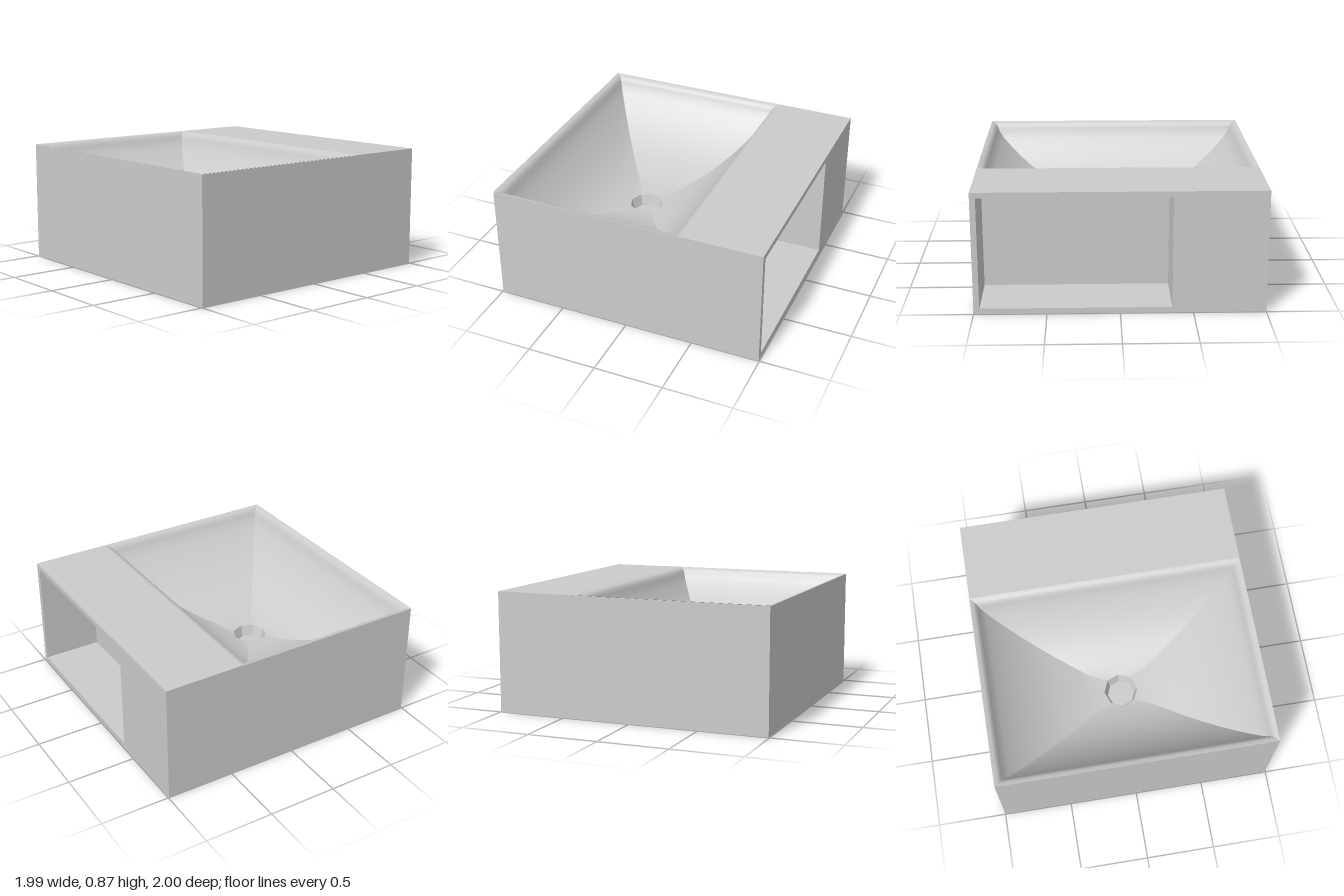
import * as THREE from 'three';

const H = 0.865;         // overall height
const X = 0.995;         // half width
const SPLIT = 0.42;      // where the bowl ends and the shelf begins
const CX = (SPLIT - X) / 2;   // bowl centre in x
const HALF_X = (SPLIT + X) / 2, HALF_Z = 1;
const DRAIN = 0.125;     // drain mouth radius
const DRAIN_Y = 0.36;

// Rounded rim: [inset from the outer rectangle, height]
const RIM = [[0, H], [0.025, 0.858], [0.043, 0.845], [0.055, 0.82]];
// Bowl slopes: [scale of the inner rectangle, height]
const SLOPE = [
  [0.985, 0.79], [0.95, 0.745], [0.88, 0.68], [0.8, 0.615], [0.7, 0.548], [0.6, 0.492],
  [0.5, 0.448], [0.4, 0.413], [0.3, 0.386], [0.22, 0.37],
];
const INSET = 0.055;
const RINGS = [
  ...RIM.map(([d, y]) => [HALF_X - d, HALF_Z - d, y]),
  ...SLOPE.map(([k, y]) => [(HALF_X - INSET) * k, (HALF_Z - INSET) * k, y]),
];

const material = new THREE.MeshStandardMaterial({ color: 0xcccccc });
const thin = new THREE.MeshStandardMaterial({ color: 0xcccccc, side: THREE.DoubleSide });

function add(parent, name, geometry, mat = material) {
  const mesh = new THREE.Mesh(geometry, mat);
  mesh.name = name;
  parent.add(mesh);
  return mesh;
}

function box(parent, name, [x0, x1], [y0, y1], [z0, z1]) {
  const g = new THREE.BoxGeometry(x1 - x0, y1 - y0, z1 - z0);
  g.translate((x0 + x1) / 2, (y0 + y1) / 2, (z0 + z1) / 2);
  return add(parent, name, g);
}

function surface(pos, index) {
  const g = new THREE.BufferGeometry();
  g.setAttribute('position', new THREE.Float32BufferAttribute(pos, 3));
  g.setIndex(index);
  g.computeVertexNormals();
  return g;
}

// One sloping side of the bowl; quarter turns 0..3 pick the side
function bowlSide(quarter) {
  const N = 8, pos = [], index = [];
  const a = quarter * Math.PI / 2, c = Math.round(Math.cos(a)), s = Math.round(Math.sin(a));
  const put = (out, side, y, kx, kz) =>
    pos.push(CX + (out * c - side * s) * kx, y, (out * s + side * c) * kz);
  for (const [hx, hz, y] of RINGS)
    for (let i = 0; i <= N; i++) put(1, i / N * 2 - 1, y, hx, hz);
  // last row follows the eight-sided drain mouth
  const d = Math.SQRT1_2;
  for (let i = 0; i <= N; i++) {
    const u = i / N * 2 - 1;
    put(1 - Math.abs(u) * (1 - d), u * d, DRAIN_Y, DRAIN, DRAIN);
  }
  for (let r = 0; r < RINGS.length; r++)
    for (let i = 0; i < N; i++) {
      const p = r * (N + 1) + i, q = p + N + 1;
      index.push(p, q, p + 1, p + 1, q, q + 1);
    }
  return surface(pos, index);
}

function rect(path, x0, x1, y0, y1) {
  path.moveTo(x0, y0);
  path.lineTo(x1, y0);
  path.lineTo(x1, y1);
  path.lineTo(x0, y1);
  path.closePath();
  return path;
}

export function createModel() {
  const model = new THREE.Group();
  model.name = 'washbasin';

  // Bowl with creased valleys between its four slopes
  const bowl = new THREE.Group();
  bowl.name = 'bowl';
  for (let q = 0; q < 4; q++) add(bowl, 'bowlSlope', bowlSide(q), thin);
  model.add(bowl);

  // Eight-sided drain cup
  const cup = new THREE.LatheGeometry(
    [[DRAIN, DRAIN_Y], [0.1, 0.28], [0, 0.28]].map(p => new THREE.Vector2(...p)), 8);
  const drainMat = thin.clone();
  drainMat.flatShading = true;
  add(model, 'drain', cup, drainMat).position.x = CX;

  // Thin outer walls, their tops just under the rim
  const t = 0.01, top = H - 0.003;
  box(model, 'bowlSideWall', [-X, -X + t], [0, top], [-1, 1]);
  for (const z of [-1, 1 - t])
    box(model, z < 0 ? 'backWall' : 'frontWall', [-X + t, SPLIT], [0, top], [z, z + t]);

  // Underside: flat in the middle, rising smoothly towards the two outer corners
  const MID = -0.14, RISE = 0.4;
  add(model, 'underside', surface(
    [SPLIT, 0, -1, SPLIT, 0, 1, MID, 0, 1, -X, 0, 0, MID, 0, -1, -X, RISE, 1, -X, RISE, -1],
    [0, 1, 2, 0, 2, 3, 0, 3, 4, 2, 5, 3, 4, 3, 6]), thin);

  // Shelf block: solid inner panel plus a frame around the niche
  const NICHE_X = 0.56;
  box(model, 'nicheBack', [SPLIT, NICHE_X], [0, H], [-1, 1]);
  const outline = rect(new THREE.Shape(), -1, 1, 0, H);
  outline.holes.push(rect(new THREE.Path(), -0.96, 0.355, 0.04, 0.825));
  const frame = new THREE.ExtrudeGeometry(outline, { depth: X - NICHE_X, bevelEnabled: false });
  frame.rotateY(Math.PI / 2);
  frame.translate(NICHE_X, 0, 0);
  add(model, 'nicheFrame', frame);

  return model;
}
